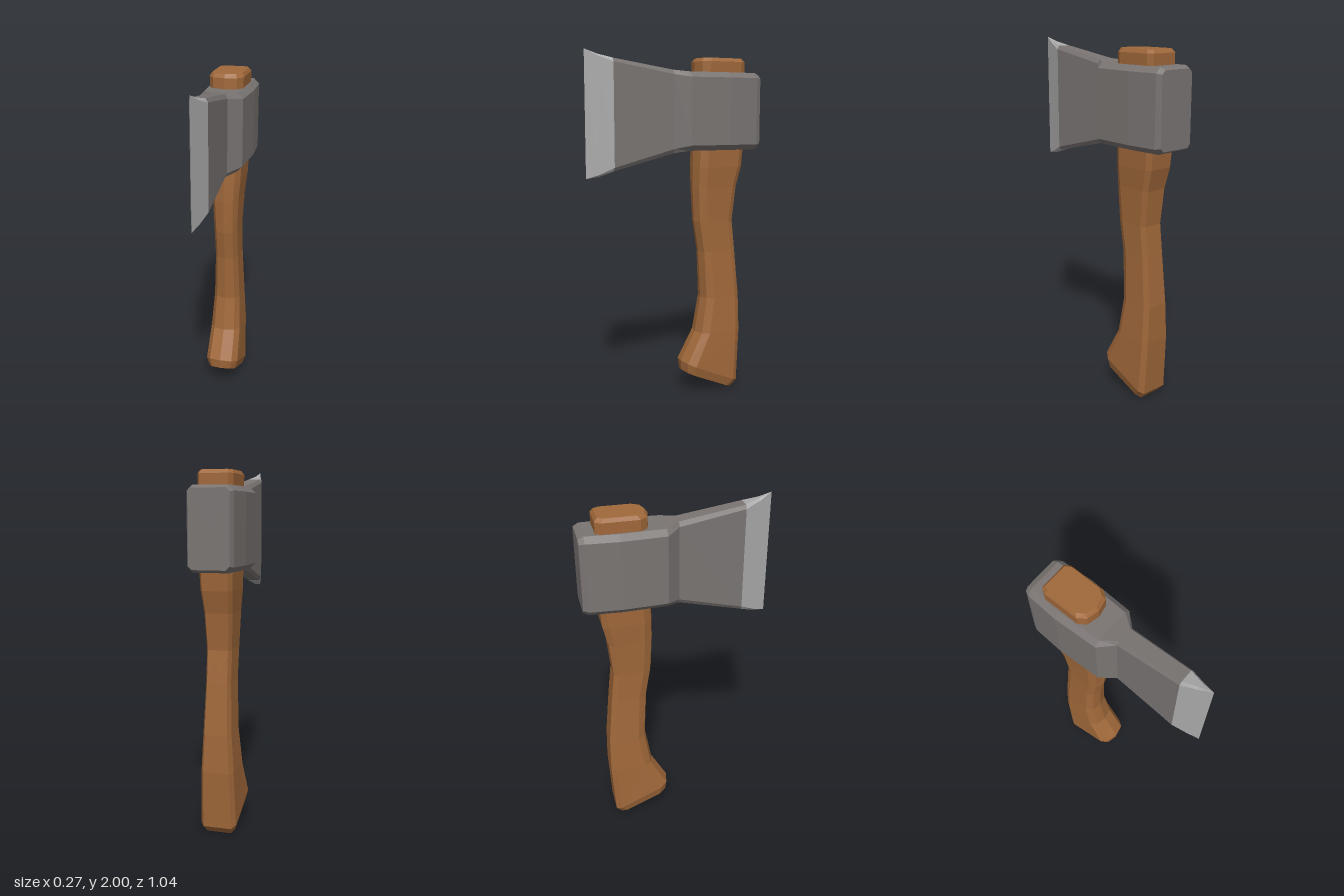
import * as THREE from 'three';

// Skin a run of equal-length rings; each ring turns counter-clockwise about the run direction.
function loft(rings, capStart, capEnd) {
  const pos = [];
  const tri = (...pts) => pts.forEach((p) => pos.push(p.x, p.y, p.z));
  const n = rings[0].length;
  for (let r = 0; r < rings.length - 1; r++) {
    const a = rings[r], b = rings[r + 1];
    for (let i = 0; i < n; i++) {
      const j = (i + 1) % n;
      tri(a[i], a[j], b[j]);
      tri(a[i], b[j], b[i]);
    }
  }
  const cap = (ring, flip) => {
    const c = new THREE.Vector3();
    ring.forEach((p) => c.addScaledVector(p, 1 / n));
    for (let i = 0; i < n; i++) {
      const j = (i + 1) % n;
      if (flip) tri(c, ring[j], ring[i]);
      else tri(c, ring[i], ring[j]);
    }
  };
  if (capStart) cap(rings[0], true);
  if (capEnd) cap(rings[rings.length - 1], false);
  const g = new THREE.BufferGeometry();
  g.setAttribute('position', new THREE.Float32BufferAttribute(pos, 3));
  g.computeVertexNormals();
  return g;
}

// Handle section: faceted oval whose height may slope from back to front.
function handleRing([yBack, yFront, zBack, zFront, w]) {
  const half = [
    [0, zFront], [0.7 * w, zFront - 0.015], [w, zFront - 0.055],
    [w, zBack + 0.03], [0.8 * w, zBack], [0, zBack],
  ];
  const mirrored = half.slice(1, -1).reverse().map(([x, z]) => [-x, z]);
  return [...half, ...mirrored].map(([x, z]) => {
    const t = (z - zBack) / (zFront - zBack);
    return new THREE.Vector3(x, yBack + (yFront - yBack) * t, z);
  });
}

// Head section: rectangle with chamfered corners.
function headRing([z, w, y0, y1, cx, cy]) {
  return [
    [w - cx, y0], [w, y0 + cy], [w, y1 - cy], [w - cx, y1],
    [cx - w, y1], [-w, y1 - cy], [-w, y0 + cy], [cx - w, y0],
  ].map(([x, y]) => new THREE.Vector3(x, y, z));
}

export function createModel() {
  const material = (name, color) => {
    const m = new THREE.MeshStandardMaterial({ color, flatShading: true });
    m.name = name;
    return m;
  };
  const wood = material('wood', 0xa0683a);
  const steel = material('darkSteel', 0x7a7573);
  const bright = material('brightSteel', 0xaaaaaa);

  const group = new THREE.Group();
  group.name = 'axe';
  const add = (name, geometry, mat) => {
    const mesh = new THREE.Mesh(geometry, mat);
    mesh.name = name;
    group.add(mesh);
  };

  // Curved handle: yBack, yFront, zBack, zFront, half width
  add('handle', loft([
    [0.0, 0.13, -0.365, -0.065, 0.085],
    [0.04, 0.19, -0.4, -0.06, 0.1],
    [0.36, 0.36, -0.418, -0.155, 0.092],
    [0.57, 0.57, -0.415, -0.19, 0.08],
    [0.85, 0.85, -0.39, -0.175, 0.07],
    [1.03, 1.03, -0.37, -0.145, 0.07],
    [1.23, 1.23, -0.39, -0.135, 0.078],
    [1.35, 1.35, -0.42, -0.135, 0.088],
    [1.47, 1.47, -0.43, -0.14, 0.092],
    [1.95, 1.95, -0.43, -0.145, 0.097],
    [1.97, 1.97, -0.415, -0.16, 0.085],
  ].map(handleRing), true, true), wood);

  // Head and cheeks: z, half width, bottom, top, chamfer x, chamfer y
  const bevelStart = [0.37, 0.048, 1.345, 1.955, 0.012, 0.02];
  add('head', loft([
    [-0.52, 0.11, 1.465, 1.875, 0.02, 0.02],
    [-0.49, 0.125, 1.45, 1.89, 0.03, 0.03],
    [-0.31, 0.136, 1.45, 1.89, 0.03, 0.03],
    [-0.065, 0.125, 1.45, 1.89, 0.03, 0.03],
    [0.01, 0.057, 1.435, 1.9, 0.015, 0.025],
    bevelStart,
  ].map(headRing), true, false), steel);

  // Sharpened bevel closing to a line
  add('cuttingEdge', loft([
    bevelStart,
    [0.45, 0.0225, 1.315, 1.975, 0.01, 0.012],
    [0.52, 0, 1.305, 2.0, 0, 0],
  ].map(headRing), false, false), bright);

  return group;
}
